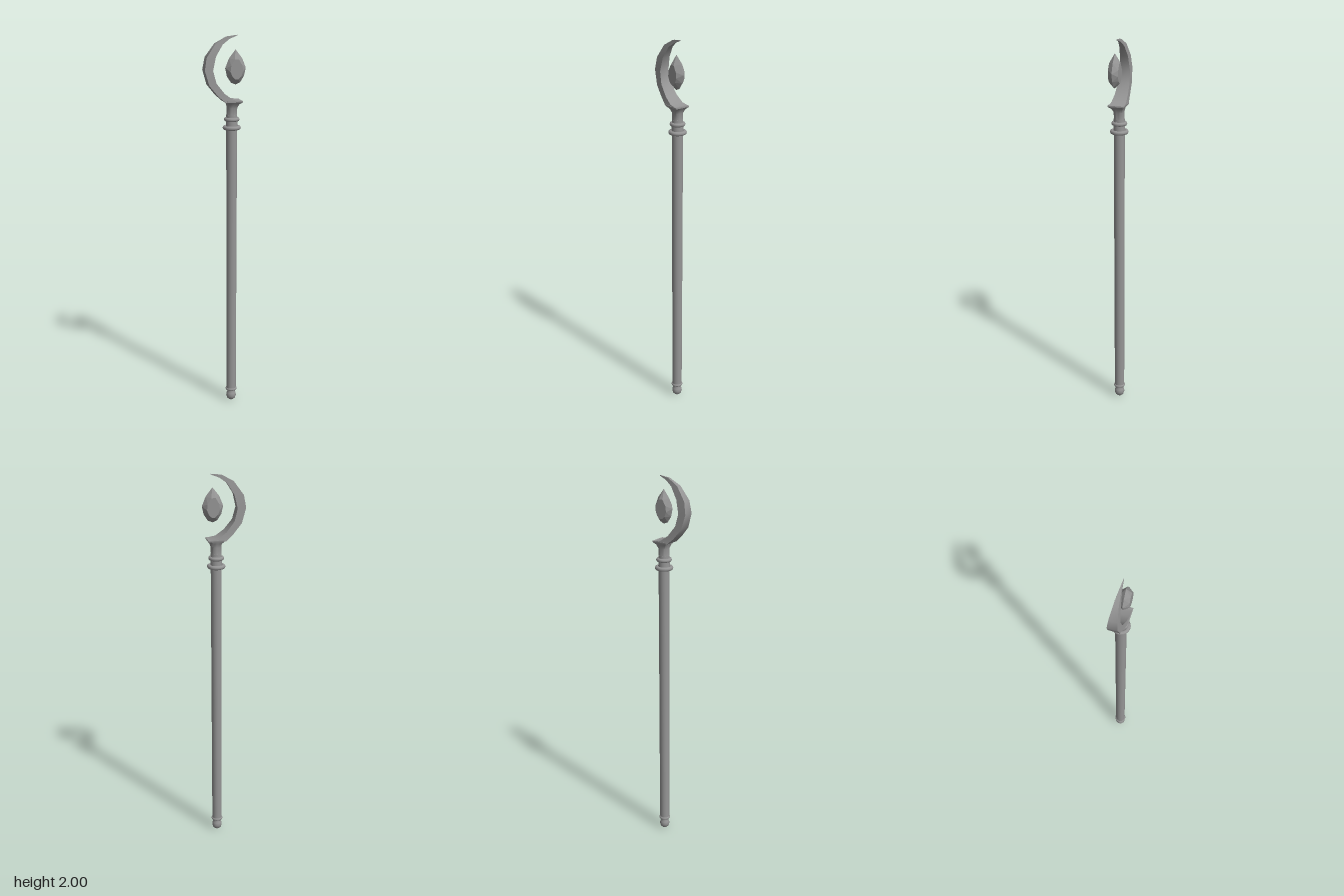
import * as THREE from 'three';
import { toCreasedNormals } from 'three/addons/utils/BufferGeometryUtils.js';

const grey = new THREE.MeshStandardMaterial({ color: 0x959595 });
const faceted = new THREE.MeshStandardMaterial({ color: 0x959595, flatShading: true });
const AXIS_X = 0.039;

// Skins rings of [x, y, z] points (counter-clockwise seen from the far end) and caps both ends.
function loft(rings, crease) {
  const n = rings[0].length;
  const pos = [];
  const tri = (a, b, c) => pos.push(...a, ...b, ...c);
  for (let i = 0; i < rings.length - 1; i++) {
    const p = rings[i], q = rings[i + 1];
    for (let j = 0; j < n; j++) {
      const k = (j + 1) % n;
      tri(p[j], p[k], q[k]);
      tri(p[j], q[k], q[j]);
    }
  }
  const first = rings[0], last = rings[rings.length - 1];
  for (let j = 1; j < n - 1; j++) {
    tri(first[0], first[j + 1], first[j]);
    tri(last[0], last[j], last[j + 1]);
  }
  const geo = new THREE.BufferGeometry();
  geo.setAttribute('position', new THREE.Float32BufferAttribute(pos, 3));
  geo.computeVertexNormals();
  return crease ? toCreasedNormals(geo, crease) : geo;
}

export function createModel() {
  const group = new THREE.Group();
  const add = (name, geo, material = grey) => {
    const mesh = new THREE.Mesh(geo, material);
    mesh.name = name;
    group.add(mesh);
    return mesh;
  };
  const onAxis = (name, geo, y) => add(name, geo).position.set(AXIS_X, y, 0);

  // Shaft, a little thicker towards the top
  onAxis('shaft', new THREE.CylinderGeometry(0.028, 0.026, 1.53, 20), 0.835);

  // Ball foot with a narrow neck
  const foot = [[0, 0], [0.012, 0.003], [0.022, 0.012], [0.027, 0.028], [0.024, 0.043],
    [0.018, 0.054], [0.021, 0.062], [0.026, 0.075]].map(p => new THREE.Vector2(...p));
  onAxis('foot', new THREE.LatheGeometry(foot, 20), 0);

  // Rounded rings: foot, lower collar, upper collar
  for (const [name, y, r, tube] of [['footRing', 0.068, 0.023, 0.008],
    ['lowerCollarRing', 1.533, 0.036, 0.011], ['upperCollarRing', 1.576, 0.03, 0.01]]) {
    onAxis(name, new THREE.TorusGeometry(r, tube, 8, 24).rotateX(Math.PI / 2), y);
  }
  onAxis('collarCore', new THREE.CylinderGeometry(0.028, 0.03, 0.07, 20), 1.565);

  // Collar flaring from a round base to a square top: [y, half width, squareness, shift]
  const collar = [[1.575, 0.03, 0, 0], [1.6, 0.027, 0, 0], [1.635, 0.027, 0.15, 0.001],
    [1.655, 0.032, 0.6, 0.003], [1.667, 0.041, 1, 0.005], [1.674, 0.041, 1, 0.005]];
  add('flaredCollar', loft(collar.map(([y, h, sq, shift]) =>
    Array.from({ length: 24 }, (_, i) => {
      const t = i / 24 * Math.PI * 2, c = Math.cos(t), s = Math.sin(t);
      const r = h * (1 - sq + sq / Math.max(Math.abs(c), Math.abs(s)));
      return [AXIS_X + shift + r * c, y, shift - r * s];
    })), 0.7));

  // Crescent from base to tip: [outer x, outer y, inner x, inner y, half depth]
  const crescent = [
    [-0.005, 1.668, 0.083, 1.672, 0.04], [-0.014, 1.676, 0.035, 1.681, 0.038],
    [-0.042, 1.700, -0.008, 1.712, 0.034], [-0.087, 1.755, -0.050, 1.765, 0.030],
    [-0.109, 1.830, -0.066, 1.828, 0.026], [-0.098, 1.893, -0.050, 1.897, 0.021],
    [-0.050, 1.960, -0.013, 1.955, 0.013], [0.010, 1.993, 0.024, 1.981, 0.006],
    [0.066, 2.0, 0.066, 1.997, 0.001]];
  add('crescent', loft(crescent.map(([ox, oy, ix, iy, d]) => {
    const z = 0.004;
    return [[ox, oy, z + d], [ix, iy, z + d], [ix, iy, z - d], [ox, oy, z - d]];
  }), 0.6));

  // Floating teardrop gem: a sharp rim, triangular facets and a flat table front and back
  const half = [[0, -0.075], [0.024, -0.065], [0.045, -0.033], [0.054, 0.008], [0.034, 0.057], [0, 0.1]];
  const rim = [...half, ...half.slice(1, -1).reverse().map(([x, y]) => [-x, y])];
  const table = (z, step) => rim.map(([x, y], i) => {
    const [x2, y2] = rim[(i + step + rim.length) % rim.length];
    return [(x + x2) * 0.33, (y + y2) * 0.33, z];
  });
  const gem = add('gem', loft([table(-0.026, 1), rim.map(([x, y]) => [x, y, 0]), table(0.026, -1)]), faceted);
  gem.position.set(0.053, 1.83, 0.018);

  return group;
}
